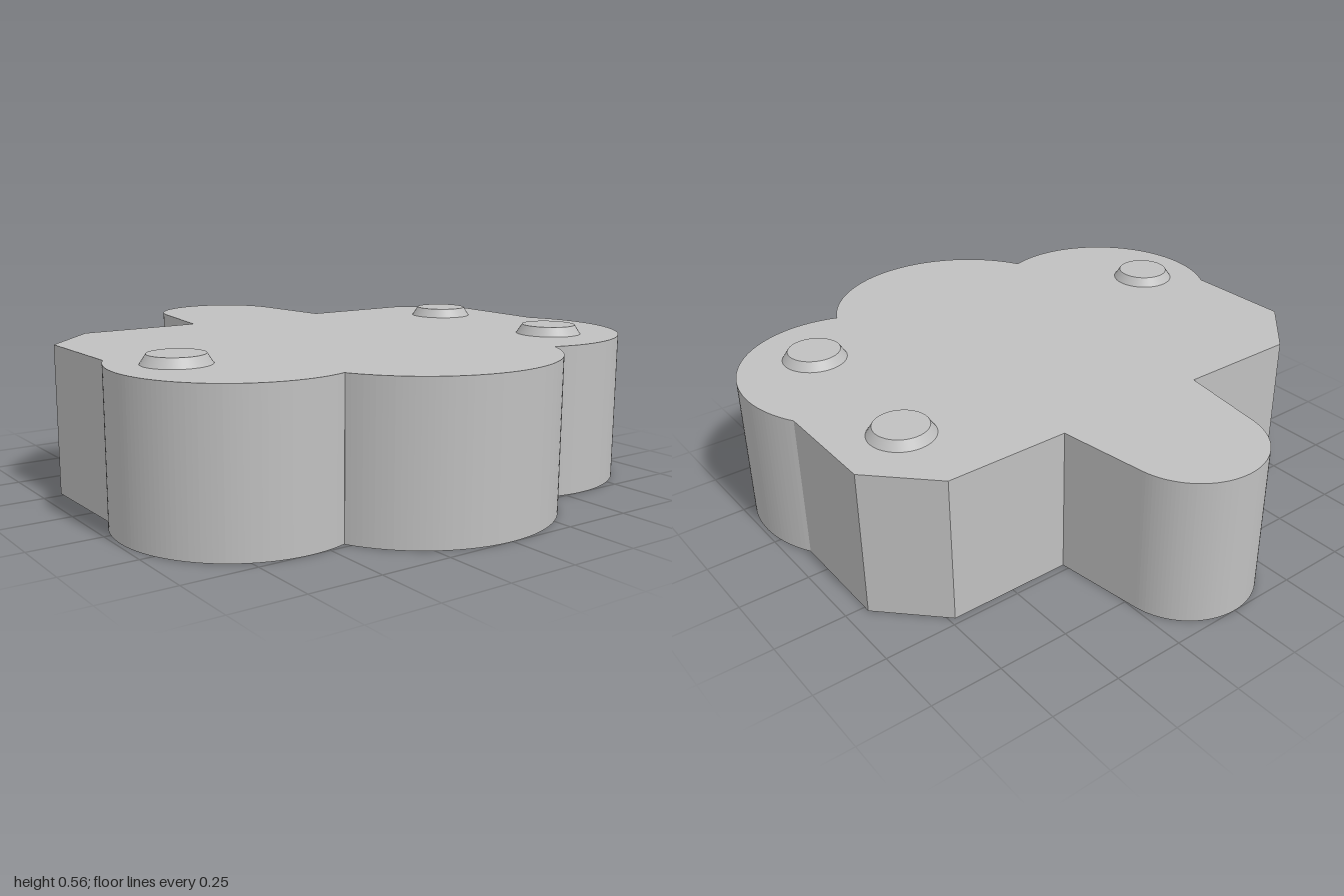
import * as THREE from 'three';

const HEIGHT = 0.525;

// Lobed outline, drawn with shape y = -z
function bodyOutline() {
  const s = new THREE.Shape();
  const front = Math.atan2(-0.215, 0.435);
  const lobeStart = Math.atan2(-0.39, -0.14);
  const lobeEnd = Math.atan2(0.215, 0.355);
  s.absarc(0, -0.515, 0.485, -Math.PI - front, front, false);      // front lobe
  s.absarc(0.573, -0.338, 0.413, lobeStart, lobeEnd, false);       // left lobe
  s.lineTo(0.93, 0.273);
  s.lineTo(0.73, 0.476);
  s.lineTo(0.287, 0.476);
  s.absarc(0, 0.755, 0.245, 0.15, Math.PI - 0.15, false);          // rear tab
  s.lineTo(-0.287, 0.476);
  s.lineTo(-0.73, 0.476);
  s.lineTo(-0.93, 0.273);
  s.absarc(-0.573, -0.338, 0.413, Math.PI - lobeEnd, Math.PI - lobeStart, false); // right lobe
  s.closePath();
  return s;
}

export function createModel() {
  const group = new THREE.Group();
  const grey = new THREE.MeshStandardMaterial({ color: 0xc0c0c0 });
  grey.name = 'light grey';

  // Slab body
  const bodyGeometry = new THREE.ExtrudeGeometry(bodyOutline(), {
    depth: HEIGHT, bevelEnabled: false, curveSegments: 28,
  });
  bodyGeometry.rotateX(-Math.PI / 2);
  const body = new THREE.Mesh(bodyGeometry, grey);
  body.name = 'body';
  group.add(body);

  // Low tapered buttons on the top face
  const rise = 0.032;
  const buttonGeometry = new THREE.CylinderGeometry(0.094, 0.115, rise, 40);
  [[0.693, -0.157], [0.66, 0.48], [-0.762, 0.302]].forEach(([x, z], i) => {
    const button = new THREE.Mesh(buttonGeometry, grey);
    button.name = `button${i + 1}`;
    button.position.set(x, HEIGHT + rise / 2, z);
    group.add(button);
  });

  return group;
}
